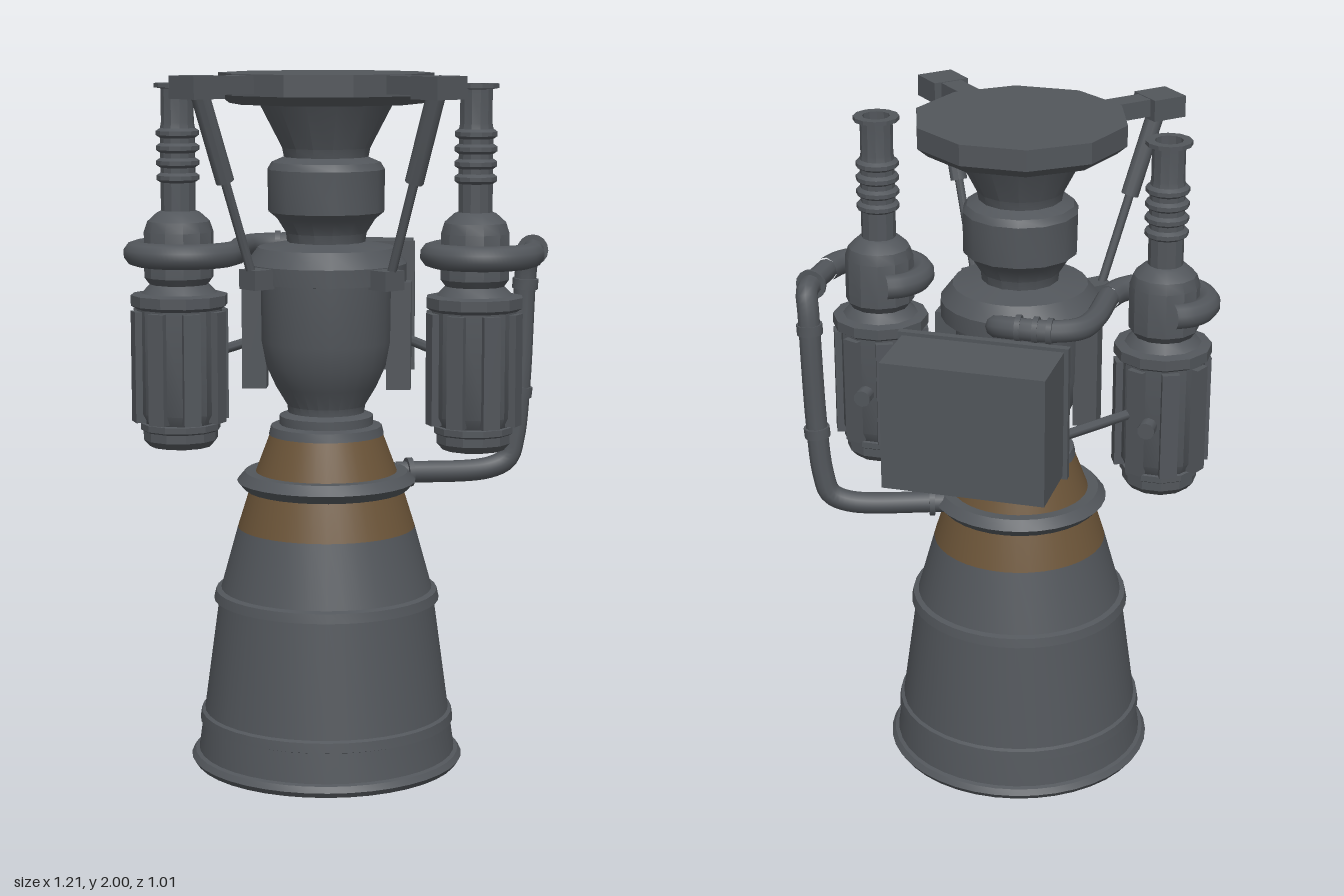
import * as THREE from 'three';
import { toCreasedNormals } from 'three/addons/utils/BufferGeometryUtils.js';

const CX = -0.027, CZ = 0.105; // engine axis
const material = (name, color) => {
  const m = new THREE.MeshStandardMaterial({ color });
  m.name = name;
  return m;
};

export function createModel() {
  const model = new THREE.Group();
  model.name = 'rocketEngine';
  const steel = material('dark steel', 0x52565b);
  const bronze = material('bronze', 0x6b5438);
  const copper = material('copper lining', 0xa06a42);

  const add = (name, geo, mat = steel, parent = model) => {
    const mesh = new THREE.Mesh(geo, mat);
    mesh.name = name;
    parent.add(mesh);
    return mesh;
  };
  // Profiles are [radius, height] pairs, listed upward for an outside surface
  const turned = (name, pts, sides, x = CX, z = CZ, mat = steel, parent = model) => {
    const geo = new THREE.LatheGeometry(pts.map(p => new THREE.Vector2(...p)), sides, Math.PI / sides);
    const mesh = add(name, toCreasedNormals(geo, 0.5), mat, parent);
    mesh.position.set(x, 0, z);
    return mesh;
  };
  const vec = a => new THREE.Vector3(...a);
  const pipe = (name, pts, r, steps = 40) =>
    add(name, new THREE.TubeGeometry(new THREE.CatmullRomCurve3(pts.map(vec), false, 'centripetal'), steps, r, 10));
  const rod = (name, a, b, r, sides = 10) => {
    const p = vec(a), q = vec(b), d = q.clone().sub(p);
    const mesh = add(name, toCreasedNormals(new THREE.CylinderGeometry(r, r, d.length(), sides), 0.7));
    mesh.position.copy(p).add(q).multiplyScalar(0.5);
    mesh.quaternion.setFromUnitVectors(new THREE.Vector3(0, 1, 0), d.normalize());
    return mesh;
  };
  const box = (name, w, h, d, x, y, z, turn = 0, parent = model) => {
    const mesh = add(name, new THREE.BoxGeometry(w, h, d), steel, parent);
    mesh.position.set(x, y, z);
    mesh.rotation.y = turn;
    return mesh;
  };

  // Nozzle bell with rolled lip and stiffening bands
  turned('nozzleBell', [
    [0.372, 0.004], [0.385, 0.004], [0.396, 0.02], [0.385, 0.036], [0.374, 0.04], [0.362, 0.125],
    [0.37, 0.128], [0.366, 0.155], [0.356, 0.16], [0.312, 0.485], [0.327, 0.488], [0.321, 0.515],
    [0.306, 0.52], [0.256, 0.7],
  ], 40);
  turned('nozzleThroatSection', [[0.256, 0.7], [0.212, 0.84], [0.163, 0.97]], 40, CX, CZ, bronze);
  turned('nozzleLining', [
    [0.03, 1.0], [0.12, 0.98], [0.155, 0.96], [0.204, 0.84], [0.248, 0.7], [0.302, 0.5], [0.352, 0.15], [0.372, 0.004],
  ], 40, CX, CZ, copper);
  turned('coolantManifold', [[0.2, 0.81], [0.235, 0.81], [0.258, 0.835], [0.235, 0.862], [0.2, 0.862]], 32);

  // Combustion chamber
  turned('combustionChamber', [
    [0.14, 0.965], [0.166, 0.97], [0.16, 0.995], [0.135, 1.0], [0.135, 1.025], [0.11, 1.035], [0.112, 1.055],
    [0.145, 1.11], [0.172, 1.17], [0.185, 1.24], [0.187, 1.41], [0.23, 1.415], [0.23, 1.465],
    [0.195, 1.51], [0.11, 1.525],
  ], 24);
  for (const s of [-1, 1]) box('chamberBracket', 0.07, 0.31, 0.06, CX + s * 0.207, 1.255, CZ - 0.02);

  // Injector head and gimbal plate
  turned('injectorHead', [
    [0.11, 1.51], [0.115, 1.55], [0.14, 1.59], [0.165, 1.61], [0.167, 1.73], [0.155, 1.75],
    [0.12, 1.765], [0.125, 1.79], [0.19, 1.915],
  ], 14);
  turned('thrustPlate', [[0, 1.915], [0.275, 1.915], [0.305, 1.94], [0.305, 2], [0, 2]], 10);

  // Gimbal arms with telescoping struts
  for (const s of [-1, 1]) {
    const at = (d, y) => [CX + s * d * Math.SQRT1_2, y, CZ + d * Math.SQRT1_2];
    const turn = s * Math.PI / 4;
    box('gimbalArm', 0.065, 0.05, 0.2, ...at(0.35, 1.972), turn);
    box('gimbalBlock', 0.11, 0.062, 0.105, ...at(0.46, 1.968), turn);
    box('strutMount', 0.07, 0.055, 0.07, ...at(0.255, 1.435), turn);
    const top = at(0.45, 1.95), mid = at(0.365, 1.71), end = at(0.27, 1.44);
    rod('strutSleeve', top, mid, 0.026);
    rod('strutRod', mid, end, 0.013);
  }

  // Turbopumps: one on each side
  const bellows = [];
  for (let i = 0; i < 4; i++) {
    const y = 1.69 + i * 0.042;
    bellows.push([0.05, y], [0.062, y + 0.008], [0.062, y + 0.02], [0.05, y + 0.028]);
  }
  const scroll = (x, z) => { // volute centreline, opening out toward the rear of its right side
    const pts = [];
    for (let i = 0; i <= 10; i++) {
      const a = Math.PI * (1.35 - 1.35 * i / 10), r = 0.105 + 0.058 * i / 10;
      pts.push([x + r * Math.cos(a), 1.49, z + r * Math.sin(a)]);
    }
    return pts;
  };
  for (const s of [-1, 1]) {
    const x = CX + s * 0.423, z = 0.1;
    const pump = new THREE.Group();
    pump.name = s < 0 ? 'rightTurbopump' : 'leftTurbopump';
    model.add(pump);
    turned('pumpBody', [
      [0, 0.93], [0.09, 0.93], [0.108, 0.95], [0.108, 0.975], [0.116, 0.98], [0.116, 0.998], [0.108, 1.0],
      [0.124, 1.03], [0.124, 1.33], [0.14, 1.34], [0.14, 1.37], [0.11, 1.375], [0.085, 1.4], [0.1, 1.42],
      [0.1, 1.55], [0.09, 1.58], [0.062, 1.605], [0.05, 1.61], [0.05, 1.68],
      ...bellows, [0.047, 1.86], [0.047, 1.955], [0.066, 1.958], [0.066, 1.97], [0.04, 1.97], [0.04, 1.93], [0, 1.93],
    ], 12, x, z, steel, pump);
    for (let i = 0; i < 8; i++) {
      const a = (i + 0.5) * Math.PI / 4;
      box('pumpRib', 0.05, 0.32, 0.03, x + 0.123 * Math.sin(a), 1.165, z + 0.123 * Math.cos(a), a, pump);
    }
    rod('pumpPort', [x + 0.01, 1.16, z - 0.1], [x + 0.01, 1.16, z - 0.16], 0.025);
  }

  // Coolant line from the left pump down to the manifold
  const lx = CX + 0.423;
  pipe('leftScroll', scroll(lx, 0.1), 0.036, 50);
  pipe('coolantLine', [
    [lx + 0.163, 1.49, 0.1], [lx + 0.165, 1.49, -0.03], [0.555, 1.485, -0.085], [0.545, 1.44, -0.105],
    [0.53, 1.1, -0.112], [0.515, 0.93, -0.11], [0.495, 0.865, -0.105], [0.44, 0.838, -0.09], [0.17, 0.835, -0.01],
  ], 0.032, 70);
  rod('lineCollar', [lx + 0.165, 1.49, -0.025], [lx + 0.165, 1.49, -0.035], 0.045, 16);
  rod('lineCollar', [0.543, 1.4, -0.106], [0.541, 1.37, -0.107], 0.038, 16);
  rod('lineCollar', [0.53, 1.08, -0.112], [0.527, 1.05, -0.112], 0.038, 16);
  rod('manifoldFlange', [0.215, 0.835, -0.023], [0.2, 0.835, -0.018], 0.043, 16);

  // Feed line from the right pump to the back of the chamber dome
  const rx = CX - 0.423;
  pipe('rightScroll', scroll(rx, 0.1), 0.036, 50);
  pipe('feedLine', [
    [rx + 0.163, 1.49, 0.1], [-0.287, 1.49, -0.08], [-0.265, 1.49, -0.15], [-0.2, 1.49, -0.188],
    [-0.09, 1.49, -0.195], [-0.035, 1.48, -0.17], [-0.027, 1.45, -0.1],
  ], 0.032, 50);
  for (const x of [-0.2, -0.16, -0.11])
    rod('feedCollar', [x, 1.49, -0.191], [x + 0.015, 1.49, -0.192], 0.038, 16);

  // Control box on the back, with cover flange and support rods
  box('controlBox', 0.46, 0.37, 0.21, CX - 0.003, 1.295, -0.4);
  box('controlBoxFlange', 0.485, 0.39, 0.022, CX - 0.003, 1.295, -0.291);
  for (const s of [-1, 1])
    rod('boxSupport', [CX + s * 0.19, 1.205, -0.285], [CX + s * 0.37, 1.18, 0.03], 0.015);

  return model;
}
